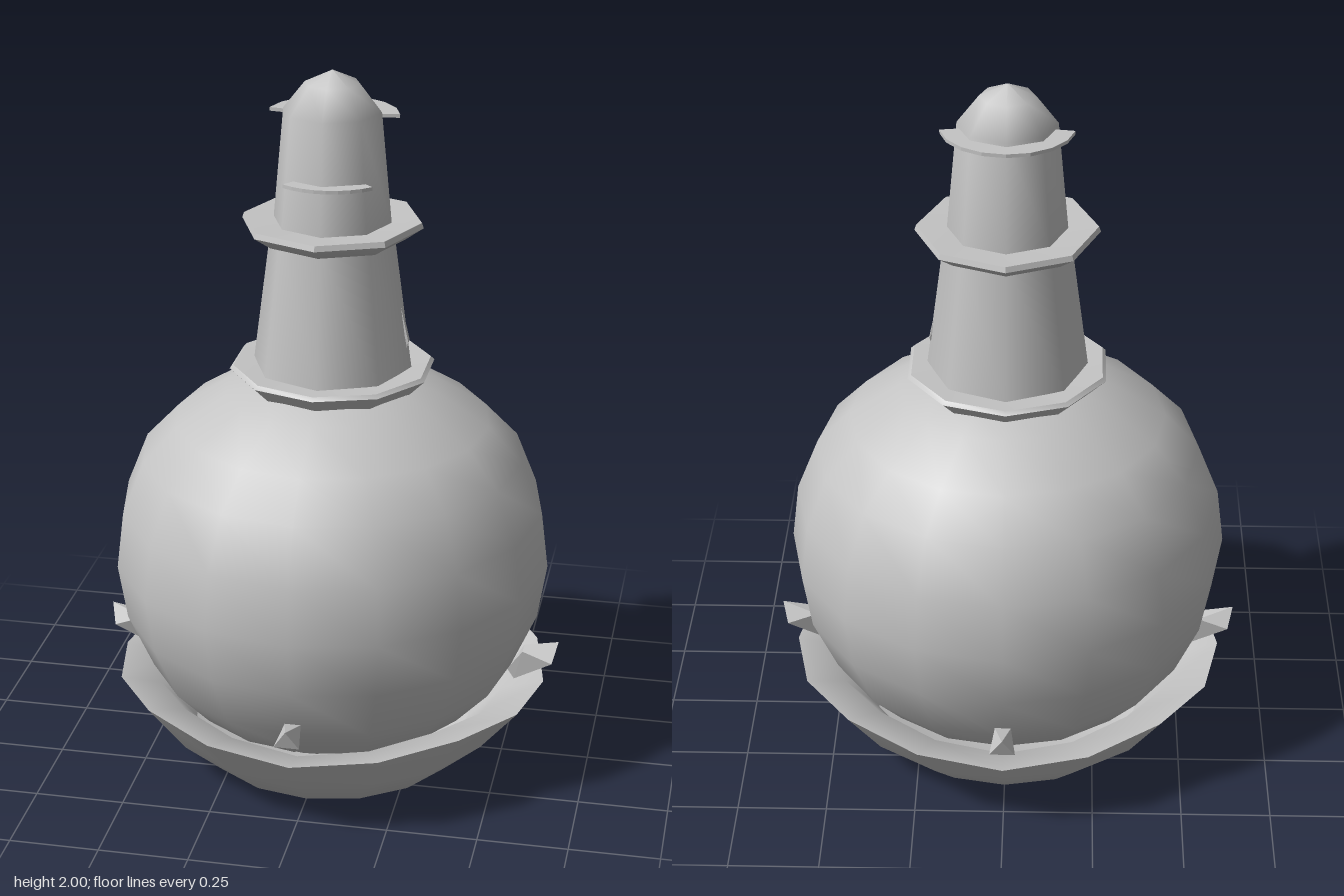
import * as THREE from 'three';
import { ConvexGeometry } from 'three/addons/geometries/ConvexGeometry.js';
import { toCreasedNormals } from 'three/addons/utils/BufferGeometryUtils.js';

export function createModel() {
  const group = new THREE.Group();
  const grey = new THREE.MeshStandardMaterial({ color: 0xc4c4c4, side: THREE.DoubleSide });
  grey.name = 'plain grey';

  const add = (name, geometry) => {
    const mesh = new THREE.Mesh(geometry, grey);
    mesh.name = name;
    group.add(mesh);
    return mesh;
  };
  const lathe = (profile, sides) =>
    new THREE.LatheGeometry(profile.map(([r, y]) => new THREE.Vector2(r, y)), sides);
  const hull = (points) => new ConvexGeometry(points.map((p) => new THREE.Vector3(...p)));

  // Round flask body
  add('flaskBody', lathe([[0, 0.04], [0.25, 0.07], [0.42, 0.17], [0.52, 0.28], [0.59, 0.44],
    [0.615, 0.6], [0.595, 0.76], [0.535, 0.91], [0.44, 1.01], [0.3, 1.1], [0.22, 1.13]], 16));

  // Cradle bowl whose rim dips at the four claws
  const bowl = lathe([[0, 0], [0.38, 0], [0.5, 0.11], [0.615, 0.25], [0.5, 0.22], [0.4, 0.1]], 16);
  const p = bowl.attributes.position;
  for (let i = 0; i < p.count; i++) {
    if (p.getY(i) < 0.2) continue;
    const angle = Math.atan2(p.getX(i), p.getZ(i));
    p.setY(i, p.getY(i) - 0.015 * Math.cos(4 * angle));
  }
  add('cradleBowl', toCreasedNormals(bowl, 0.8));

  // Four claws around the rim
  const claw = hull([[0.655, 0.365, 0], [0.64, 0.31, 0.035], [0.64, 0.31, -0.035],
    [0.555, 0.335, 0.022], [0.555, 0.335, -0.022], [0.53, 0.235, 0], [0.51, 0.265, 0]]);
  for (let i = 0; i < 4; i++) add('claw' + (i + 1), claw).rotation.y = i * Math.PI / 2;

  // Flared collar
  add('collar', toCreasedNormals(lathe([[0.22, 1.1], [0.285, 1.165], [0.275, 1.175], [0.18, 1.17]], 10), 0.7));

  // Tapered neck
  add('neck', lathe([[0.222, 1.165], [0.17, 1.56]], 8));

  // Lip ring
  add('lipRing', toCreasedNormals(
    lathe([[0.15, 1.54], [0.2, 1.54], [0.25, 1.575], [0.245, 1.59], [0.15, 1.585]], 8), 0.7));

  // Stopper with a domed tip
  add('stopper', lathe([[0.163, 1.58], [0.134, 1.89], [0.075, 1.965], [0, 2]], 8));

  // Thin crescent flanges on the stopper
  const crescent = (name, y, from, to) => {
    const shape = new THREE.Shape();
    shape.absarc(0, 0, 0.18, from, to, false);
    shape.absarc(0, 0, 0.115, to, from, true);
    const geometry = new THREE.ExtrudeGeometry(shape, { depth: 0.01, bevelEnabled: false, curveSegments: 4 });
    geometry.rotateX(-Math.PI / 2);
    add(name, geometry).position.y = y;
  };
  crescent('upperFlange', 1.87, Math.PI * 0.05, Math.PI * 0.95);
  crescent('lowerFlange', 1.712, Math.PI * 1.3, Math.PI * 1.76);

  // Small raised sliver on the side of the neck
  add('neckSliver', hull([[0.165, 1.48, 0.01], [0.214, 1.25, 0.015], [0.214, 1.25, -0.008],
    [0.2, 1.2, 0], [0.15, 1.35, 0]]));

  return group;
}
